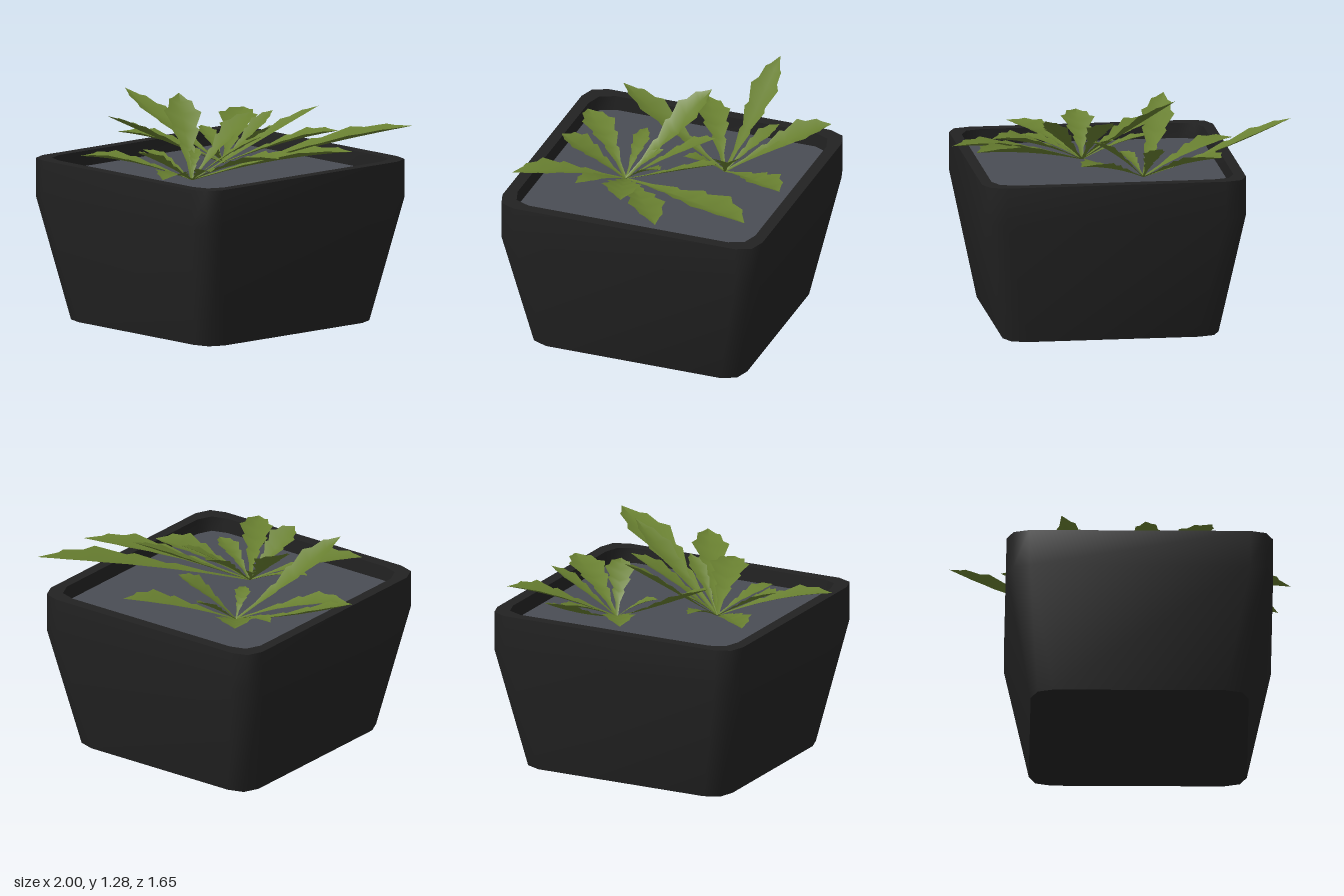
import * as THREE from 'three';
import { toCreasedNormals } from 'three/addons/utils/BufferGeometryUtils.js';

const potMat = new THREE.MeshStandardMaterial({ color: 0x222222, name: 'potCharcoal' });
const soilMat = new THREE.MeshStandardMaterial({ color: 0x4a4d54, name: 'soilGrey' });
const leafMat = new THREE.MeshStandardMaterial({ color: 0x687f30, name: 'leafGreen', side: THREE.DoubleSide });

const CX = 0.107, CZ = -0.02, SOIL_Y = 0.87;

// Rounded rectangle cross-section with two-step corners
function ring(hx, hz, y) {
  const pts = [];
  for (const [sx, sz] of [[1, 1], [-1, 1], [-1, -1], [1, -1]]) {
    const c = [[hx, hz - 0.12], [hx - 0.04, hz - 0.03], [hx - 0.135, hz]];
    if (sx * sz < 0) c.reverse();
    for (const [x, z] of c) pts.push([CX + sx * x, y, CZ + sz * z]);
  }
  return pts;
}
const centre = (y) => Array.from({ length: 12 }, () => [CX, y, CZ]);

// Skin a sequence of rings; collapsed rings become fans
function loft(rings) {
  const pos = [], isPoint = (r) => r[0][0] === r[1][0] && r[0][2] === r[1][2];
  for (let k = 0; k < rings.length - 1; k++) {
    const lo = rings[k], up = rings[k + 1];
    for (let i = 0; i < 12; i++) {
      const j = (i + 1) % 12;
      if (!isPoint(lo)) pos.push(...lo[i], ...up[i], ...lo[j]);
      if (!isPoint(up)) pos.push(...lo[j], ...up[i], ...up[j]);
    }
  }
  const g = new THREE.BufferGeometry();
  g.setAttribute('position', new THREE.Float32BufferAttribute(pos, 3));
  return toCreasedNormals(g, 0.9);
}

// Toothed half-width along the leaf: [position, fraction of full width]
const TEETH = [[0, 0.08], [0.2, 0.15], [0.34, 0.42], [0.38, 0.33], [0.52, 0.76], [0.56, 0.62],
  [0.7, 1], [0.76, 0.7], [0.86, 0.6], [0.89, 0.38], [1, 0]];

// Leaf folded along its midrib, running from the crown to the tip
function leafGeometry(base, tip, width, arch) {
  const a = new THREE.Vector3(...base), b = new THREE.Vector3(...tip);
  const mid = a.clone().lerp(b, 0.5);
  mid.y += arch * 2;
  const path = new THREE.QuadraticBezierCurve3(a, mid, b);
  const dir = b.clone().sub(a).setY(0).normalize();
  const side = new THREE.Vector3(-dir.z, 0, dir.x);
  const pos = [], idx = [];
  TEETH.forEach(([t, f], i) => {
    const w = f * width;
    for (const s of [-1, 0, 1]) {
      const shift = s < 0 && t > 0.2 && t < 0.9 ? 0.03 : 0; // teeth alternate slightly
      const p = path.getPoint(t + shift).addScaledVector(side, s * w);
      p.y += Math.abs(s) * w * 0.35;
      pos.push(p.x, p.y, p.z);
    }
    if (i === TEETH.length - 1) return;
    const o = i * 3;
    for (const k of [o, o + 1]) idx.push(k, k + 1, k + 3, k + 1, k + 4, k + 3);
  });
  const g = new THREE.BufferGeometry();
  g.setAttribute('position', new THREE.Float32BufferAttribute(pos, 3));
  g.setIndex(idx);
  g.computeVertexNormals();
  return g;
}

// Rosettes: crown position, then leaves as [tip x, tip y, tip z, half-width, arch]
const PLANTS = [
  { name: 'backPlant', at: [-0.13, SOIL_Y, -0.26], leaves: [
    [-1, 1.2, -0.275, 0.09, -0.02], [-0.7, 1.02, 0.06, 0.1, 0.03], [-0.35, 1.21, 0.46, 0.1, -0.01],
    [-0.52, 1.09, -0.78, 0.12, 0.02], [0.31, 1.06, -0.77, 0.11, 0.02], [-0.16, 1.13, -0.68, 0.065, 0.01],
    [-0.53, 1.02, -0.45, 0.055, 0.02], [0.19, 1.12, -0.4, 0.09, 0.02], [-0.03, 0.98, -0.04, 0.05, 0.02]] },
  { name: 'frontPlant', at: [0.16, SOIL_Y, 0.25], leaves: [
    [-0.34, 1.28, -0.1, 0.11, 0], [0.08, 1.2, -0.28, 0.085, 0.02], [0.48, 1.27, -0.46, 0.08, 0],
    [0.93, 1.17, -0.79, 0.13, 0.02], [1, 1.09, -0.255, 0.11, 0.03], [0.72, 1.05, 0.07, 0.12, 0.03],
    [0.52, 0.99, 0.43, 0.065, 0.02], [0.53, 0.99, 0.82, 0.1, 0.03], [0.14, 1.08, 0.66, 0.1, 0.01],
    [-0.34, 1, 0.68, 0.1, 0.03], [-0.25, 1, 0.27, 0.055, 0.02], [0.43, 1.13, -0.07, 0.055, 0.02],
    [0.0, 1.02, 0.07, 0.04, 0.02]] },
];

export function createModel() {
  const root = new THREE.Group();
  root.name = 'pottedPlants';
  const add = (parent, geo, mat, name) => {
    const m = new THREE.Mesh(geo, mat);
    m.name = name;
    parent.add(m);
  };

  // Tapered pot with a thick upright rim
  add(root, loft([centre(0), ring(0.638, 0.666, 0), ring(0.78, 0.815, 0.735), ring(0.78, 0.815, 0.96),
    ring(0.715, 0.745, 0.96), ring(0.713, 0.743, SOIL_Y - 0.02)]), potMat, 'pot');
  add(root, loft([ring(0.714, 0.744, SOIL_Y), centre(SOIL_Y)]), soilMat, 'soil');

  for (const plant of PLANTS) {
    const group = new THREE.Group();
    group.name = plant.name;
    for (const [x, y, z, w, arch] of plant.leaves)
      add(group, leafGeometry(plant.at, [x, y, z], w, arch), leafMat, 'leaf');
    root.add(group);
  }
  return root;
}
